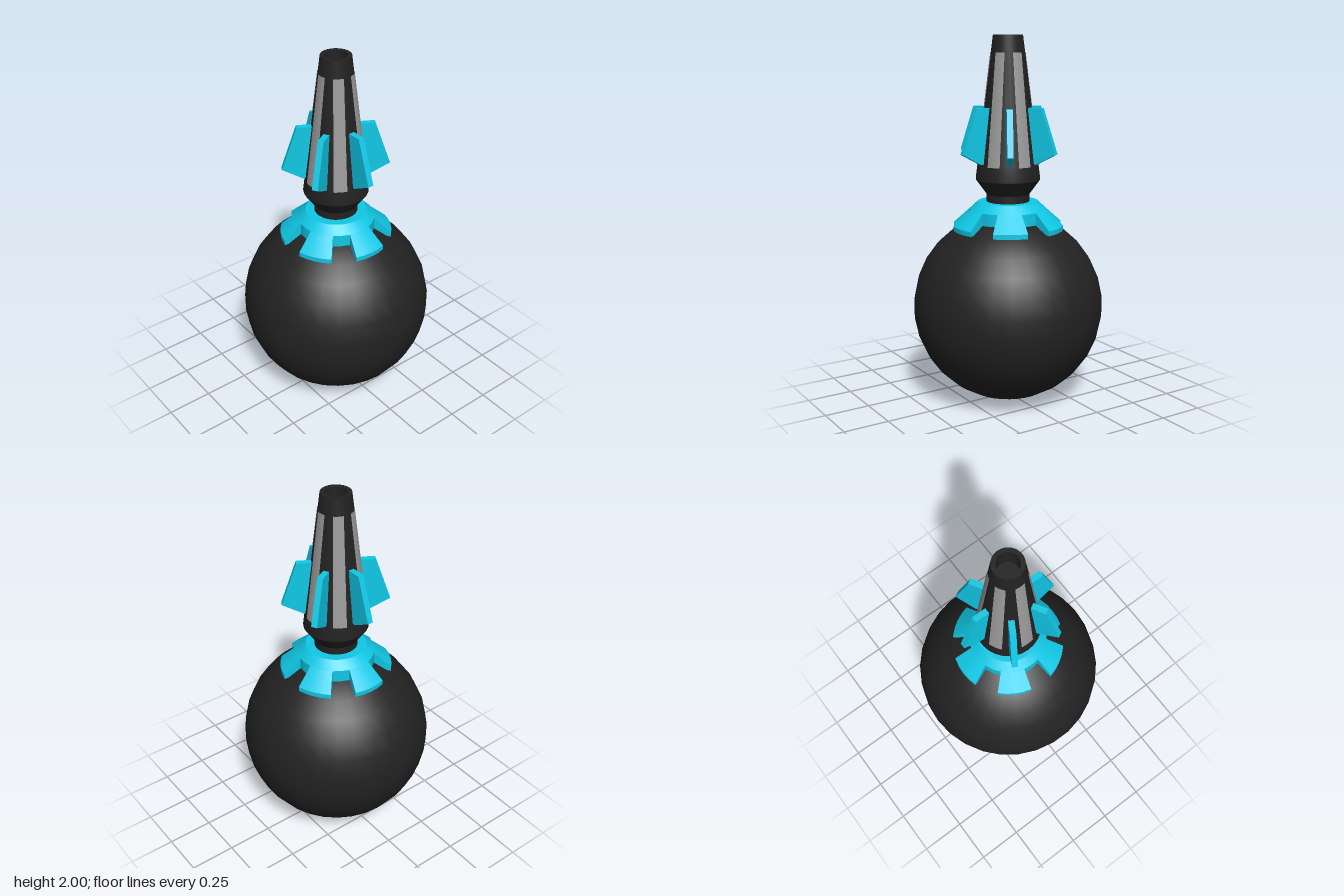
import * as THREE from 'three';
import { toCreasedNormals } from 'three/addons/utils/BufferGeometryUtils.js';

const SIDES = 30;
const mat = (color) => new THREE.MeshStandardMaterial({ color, side: THREE.DoubleSide });

function addMesh(parent, name, geometry, material) {
  const mesh = new THREE.Mesh(geometry, material);
  mesh.name = name;
  parent.add(mesh);
  return mesh;
}

const points = (list) => list.map(([x, y]) => new THREE.Vector2(x, y));

// Revolve a profile with crisp edges
function revolve(list, segments = SIDES, start = 0, length = Math.PI * 2) {
  return toCreasedNormals(new THREE.LatheGeometry(points(list), segments, start, length), 0.3);
}

// Strip wrapped on the tapered barrel
function barrelStrip() {
  const geo = new THREE.PlaneGeometry(2, 1, 6, 1);
  const p = geo.attributes.position;
  for (let i = 0; i < p.count; i++) {
    const t = p.getY(i) + 0.5;
    const r = THREE.MathUtils.lerp(0.169, 0.094, t);
    const a = p.getX(i) * THREE.MathUtils.lerp(0.215, 0.29, t);
    p.setXYZ(i, r * Math.sin(a), THREE.MathUtils.lerp(1.31, 1.91, t), r * Math.cos(a));
  }
  geo.computeVertexNormals();
  return geo;
}

export function createModel() {
  const model = new THREE.Group();
  const dark = mat(0x222222);
  const cyan = mat(0x10c8e6);
  const grey = mat(0x999999);

  // Round body
  const body = addMesh(model, 'sphereBody', new THREE.SphereGeometry(0.523, SIDES, 15), dark);
  body.position.y = 0.523;

  // Neck, flared base, tapered barrel and muzzle bore
  addMesh(model, 'barrel', revolve([
    [0.117, 0.98], [0.117, 1.15], [0.175, 1.23], [0.175, 1.24], [0.166, 1.31],
    [0.08, 2], [0.057, 2], [0.055, 1.9], [0, 1.9],
  ]), dark);

  // Collar ring around the neck
  addMesh(model, 'collarRing', revolve([
    [0.117, 1.0], [0.21, 0.98], [0.21, 1.068], [0.165, 1.11], [0.117, 1.11],
  ]), cyan);

  // Six of everything around the axis
  const tabProfile = [[0.2, 0.97], [0.305, 0.957], [0.305, 0.983], [0.21, 1.068], [0.2, 1.068]];
  const tabHalf = THREE.MathUtils.degToRad(17.5);
  const tabGeo = revolve([...tabProfile, tabProfile[0]], 4, Math.PI / 2 - tabHalf, tabHalf * 2);
  const tabEndGeo = new THREE.ShapeGeometry(new THREE.Shape(points(tabProfile)));

  const finShape = new THREE.Shape(points([
    [0.1, 1.33], [0.175, 1.32], [0.287, 1.38], [0.205, 1.62], [0.1, 1.62],
  ]));
  const finGeo = new THREE.ExtrudeGeometry(finShape, { depth: 0.032, bevelEnabled: false });
  finGeo.translate(0, 0, -0.016);
  const stripGeo = barrelStrip();

  for (let i = 0; i < 6; i++) {
    const angle = (i * Math.PI) / 3;

    const tab = new THREE.Group();
    tab.name = 'collarTab';
    tab.rotation.y = angle;
    addMesh(tab, 'tabShell', tabGeo, cyan);
    for (const side of [-1, 1]) {
      addMesh(tab, 'tabEnd', tabEndGeo, cyan).rotation.y = side * tabHalf;
    }
    model.add(tab);

    addMesh(model, 'fin', finGeo, cyan).rotation.y = angle;
    addMesh(model, 'barrelStrip', stripGeo, grey).rotation.y = angle;
  }
  return model;
}
